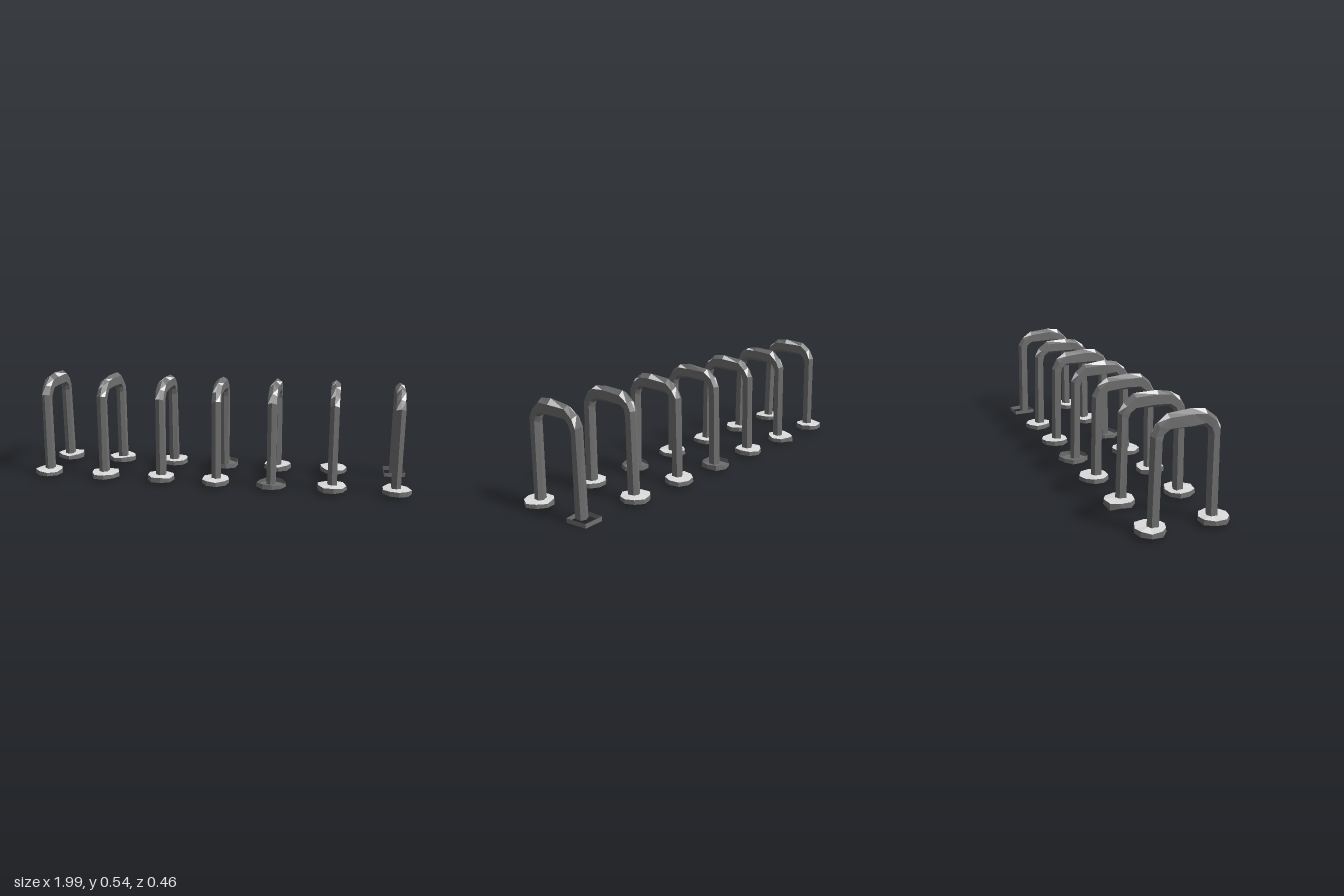
import * as THREE from 'three';

function steel(name, color) {
  const material = new THREE.MeshStandardMaterial({ color, flatShading: true, side: THREE.DoubleSide });
  material.name = name;
  return material;
}
const dark = steel('dark grey steel', 0x707070);
const light = steel('pale worn grey', 0xdcdcdc);

// Small seeded jitter for the rough, faceted surfaces
let seed = 11;
function jitter(amount) {
  seed = (seed * 16807) % 2147483647;
  return (seed / 2147483647 - 0.5) * 2 * amount;
}

// Faceted mesh from a list of corner triples
function facetMesh(points, material, name) {
  const geometry = new THREE.BufferGeometry().setFromPoints(points);
  geometry.computeVertexNormals();
  const mesh = new THREE.Mesh(geometry, material);
  mesh.name = name;
  return mesh;
}

// Walls between two loops; the first triangle of the face numbered pale goes to another list
function bridge(a, b, out, pale = -1, paleOut = out) {
  a.forEach((p, i) => {
    const j = (i + 1) % a.length;
    (i === pale ? paleOut : out).push(p, b[i], a[j]);
    out.push(a[j], b[i], b[j]);
  });
}

function fan(loop, centre, up, out) {
  loop.forEach((p, i) => {
    const q = loop[(i + 1) % loop.length];
    out.push(centre, up ? q : p, up ? p : q);
  });
}

// Half of the arch: [outer z, outer y, inner z, inner y]
const half = [
  [0.174, 0.025, 0.119, 0.025],
  [0.166, 0.450, 0.114, 0.415],
  [0.139, 0.495, 0.108, 0.442],
  [0.090, 0.531, 0.085, 0.461],
];
const archProfile = [
  ...half,
  [0.025, 0.539, 0.02, 0.462],
  ...half.map(([a, b, c, d]) => [-a, b, -c, d]).reverse(),
];

// Cross-section: [x, blend from outer edge to inner edge]
const section = [[0, 0], [-0.023, 0.22], [-0.023, 0.82], [0, 1], [0.023, 0.82], [0.023, 0.22]];

// Dark hoop with pale worn facets alternating along the crown
function hoop(index) {
  const loops = archProfile.map(([oz, oy, iz, iy]) => section.map(([x, t]) => new THREE.Vector3(
    x + jitter(0.002),
    oy + (iy - oy) * t + (oy > 0.1 ? jitter(0.004) : 0),
    oz + (iz - oz) * t + jitter(0.002))));
  const body = [], worn = [];
  for (let i = 0; i + 1 < loops.length; i++) {
    const onCrown = i > 0 && i < loops.length - 2;
    const pale = onCrown ? ((i + index) % 2 ? 0 : 5) : -1;
    bridge(loops[i], loops[i + 1], body, pale, worn);
  }
  const group = new THREE.Group();
  group.name = 'hoop';
  group.add(facetMesh(body, dark, 'hoopBody'), facetMesh(worn, light, 'hoopWornFacets'));
  return group;
}

// Foot plate; some are open above or below, as worn shells
function footPlate(hasTop, hasBottom, lowCorner) {
  const upper = [], lower = [];
  for (let i = 0; i < 9; i++) {
    const a = -i / 9 * Math.PI * 2, r = 0.074 + jitter(0.006);
    upper.push(new THREE.Vector3(Math.cos(a) * (r - 0.002), 0.037 + jitter(0.004), Math.sin(a) * (r - 0.002)));
    lower.push(new THREE.Vector3(Math.cos(a) * r, 0.014 + jitter(0.002), Math.sin(a) * r));
  }
  if (lowCorner) lower[3].y = 0;
  const group = new THREE.Group();
  group.name = 'footPlate';
  const shell = [];
  bridge(upper, lower, shell);
  if (hasBottom) fan(lower, new THREE.Vector3(0, 0.013, 0), false, shell);
  group.add(facetMesh(shell, dark, 'footShell'));
  if (hasTop) {
    const top = [];
    fan(upper, new THREE.Vector3(0, 0.041, 0), true, top);
    group.add(facetMesh(top, light, 'footTop'));
  }
  return group;
}

// Square foot with only its side walls
function footFrame() {
  const ring = y => [[-0.055, -0.06], [0.045, -0.065], [0.06, 0.045], [-0.05, 0.06]]
    .map(([x, z]) => new THREE.Vector3(x, y, z));
  const out = [];
  bridge(ring(0.036), ring(0.014), out);
  return facetMesh(out, dark, 'footFrame');
}

// Each hoop: x, twist, then [top, bottom] faces of the front and back feet
const rack = [
  [-0.922, 0.00, [1, 0], [1, 0]],
  [-0.607, 0.05, [1, 0], [1, 1]],
  [-0.298, 0.00, [1, 0], [1, 1]],
  [-0.004, -0.02, [1, 0], [0, 1]],
  [0.288, 0.00, [0, 1], [1, 1]],
  [0.597, -0.02, [1, 1], [1, 1]],
  [0.919, 0.00, [1, 1], null],
];

export function createModel() {
  const model = new THREE.Group();
  model.name = 'hoopRack';
  rack.forEach(([x, twist, front, back], i) => {
    const stand = new THREE.Group();
    stand.name = 'stand' + (i + 1);
    stand.position.x = x;
    const arch = hoop(i);
    arch.rotation.y = -twist;
    const frontFoot = footPlate(front[0], front[1], false);
    frontFoot.position.z = 0.152;
    const backFoot = back ? footPlate(back[0], back[1], i === 1) : footFrame();
    backFoot.position.z = -0.157;
    stand.add(arch, frontFoot, backFoot);
    model.add(stand);
  });
  return model;
}
